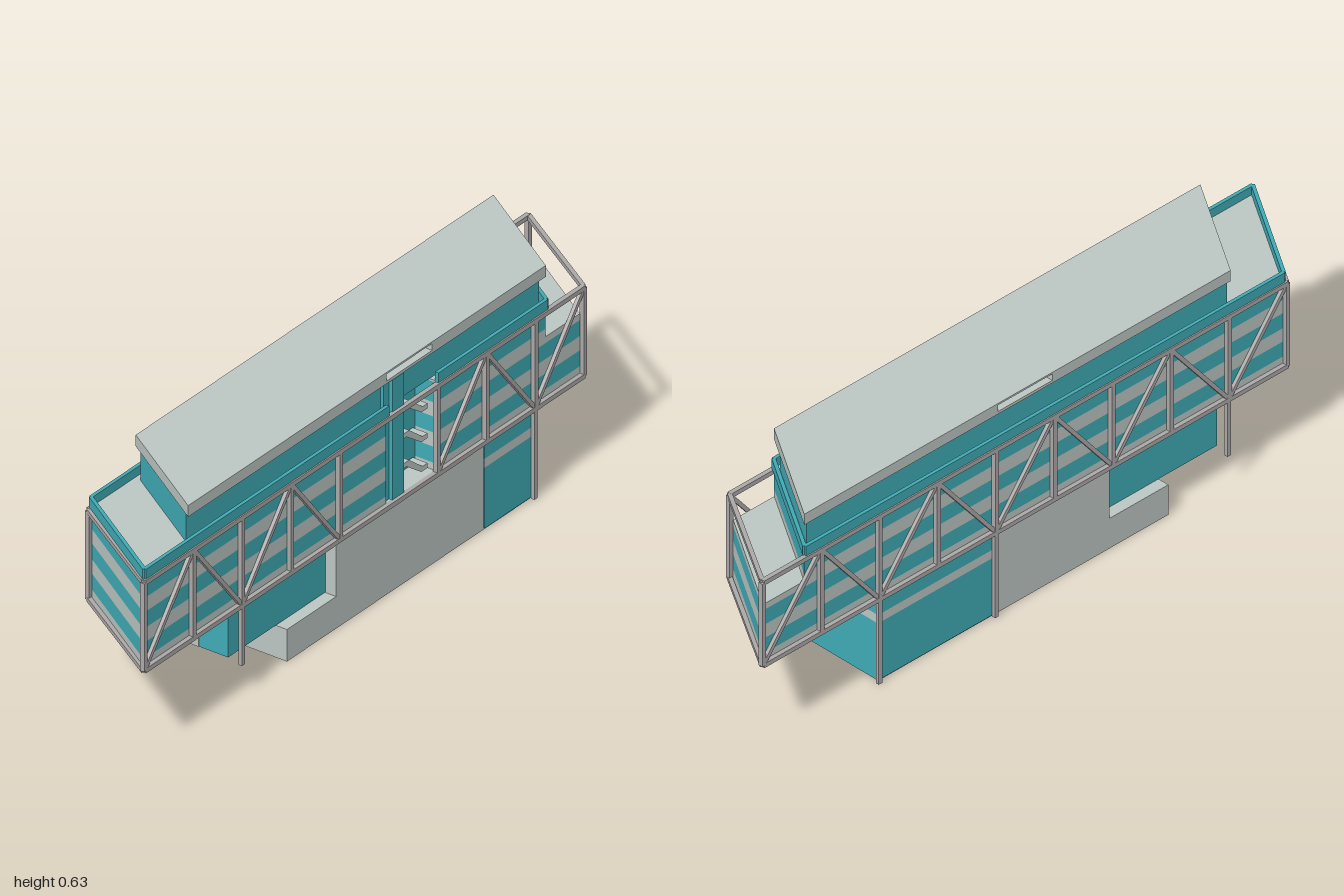
import * as THREE from 'three';

const mat = (color) => new THREE.MeshStandardMaterial({ color, flatShading: true });
const concrete = mat(0xbcc6c2), teal = mat(0x40abb6), steel = mat(0xaca8a8);

// x on the slanted plan: given the x at the front edge, shift with depth
const SKEW = 0.645, FRONT = 0.158;
const sx = (x, z) => x + SKEW * (FRONT - z);

export function createModel() {
  const model = new THREE.Group();

  const add = (name, geo, material, parent = model) => {
    const mesh = new THREE.Mesh(geo, material);
    mesh.name = name;
    parent.add(mesh);
    return mesh;
  };
  // box from its limits
  const box = (name, m, x0, x1, y0, y1, z0, z1, parent) => {
    const b = add(name, new THREE.BoxGeometry(x1 - x0, y1 - y0, z1 - z0), m, parent);
    b.position.set((x0 + x1) / 2, (y0 + y1) / 2, (z0 + z1) / 2);
    return b;
  };
  // upright prism over a plan of [x, z] corners
  const prism = (name, m, plan, y0, y1, parent) => {
    const shape = new THREE.Shape(plan.map(([x, z]) => new THREE.Vector2(x, -z)));
    const geo = new THREE.ExtrudeGeometry(shape, { depth: y1 - y0, bevelEnabled: false });
    geo.rotateX(-Math.PI / 2).translate(0, y0, 0);
    return add(name, geo, m, parent);
  };
  // slanted plan, optionally with the stair recess cut into the front
  const plan = (x0, x1, zf, zb, notch) => [
    [sx(x0, zf), zf],
    ...(notch ? [[0, zf], [0, 0.08], [0.2, 0.08], [0.2, zf]] : []),
    [sx(x1, zf), zf], [sx(x1, zb), zb], [sx(x0, zb), zb],
  ];
  // rectangular bar between two points
  const bar = (name, m, a, b, w, h, parent) => {
    const from = new THREE.Vector3(...a), to = new THREE.Vector3(...b);
    const mesh = add(name, new THREE.BoxGeometry(w, h, from.distanceTo(to)), m, parent);
    mesh.position.copy(from).add(to).multiplyScalar(0.5);
    mesh.lookAt(to);
    return mesh;
  };

  // main storeys: alternating bands, with the right end stopping lower as a terrace
  const storeys = new THREE.Group();
  storeys.name = 'mainStoreys';
  model.add(storeys);
  const LEFT = -0.99, RIGHT = 0.785, STEP = 0.645;
  [
    [0.25, 0.28, concrete, RIGHT], [0.28, 0.325, teal, RIGHT],
    [0.325, 0.365, concrete, RIGHT], [0.365, 0.41, teal, RIGHT],
    [0.41, 0.428, concrete, RIGHT], [0.428, 0.45, concrete, STEP],
    [0.45, 0.508, teal, STEP], [0.508, 0.513, concrete, STEP],
  ].forEach(([y0, y1, m, x1]) =>
    prism(m === teal ? 'windowBand' : 'wallBand', m, plan(LEFT, x1, 0.152, -0.152, true), y0, y1, storeys));

  // parapet around the roof deck, open at the stair recess
  const parapet = new THREE.Group();
  parapet.name = 'parapet';
  model.add(parapet);
  const pz = 0.157, py = 0.524;
  const pl = sx(LEFT, pz), pr = sx(STEP, pz), bl = sx(LEFT, -pz), br = sx(STEP, -pz);
  [
    [pl, pz, 0, pz], [0.2, pz, pr, pz], [bl, -pz, br, -pz],
    [pl, pz, bl, -pz], [pr, pz, br, -pz],
  ].forEach(([xa, za, xb, zb]) =>
    bar('parapetWall', teal, [xa, py, za], [xb, py, zb], 0.01, 0.028, parapet));

  // set-back top storey, and a roof with a slot through it
  prism('topStorey', teal, plan(-0.805, 0.63, 0.135, -0.132, false), 0.513, 0.6);
  const rz = 0.154, roofL = -0.81, roofR = 0.645;
  prism('roofLeft', concrete, [[sx(roofL, rz), rz], [0, rz], [0, -rz], [sx(roofL, -rz), -rz]], 0.598, 0.63);
  prism('roofRight', concrete, [[0.185, rz], [sx(roofR, rz), rz], [sx(roofR, -rz), -rz], [0.185, -rz]], 0.598, 0.63);
  box('roofSlotCover', concrete, 0, 0.185, 0.625, 0.63, -rz, rz);
  box('roofSlotFloor', concrete, 0, 0.185, 0.598, 0.606, -rz, rz);

  // stair recess: lining, shaft and flights
  box('recessLining', teal, 0, 0.2, 0.255, 0.598, 0.06, 0.09);
  box('recessFloor', concrete, 0, 0.2, 0.25, 0.26, 0.06, 0.152);
  box('shaftSide', teal, 0, 0.022, 0.26, 0.598, 0.08, 0.145);
  box('shaft', teal, 0.022, 0.07, 0.26, 0.598, 0.08, 0.155);
  for (let i = 0; i < 3; i++) {
    const y = 0.32 + i * 0.084;
    const flight = new THREE.Shape([
      [0.07, y - 0.007], [0.1, y - 0.007], [0.16, y - 0.05], [0.185, y - 0.05],
      [0.185, y - 0.036], [0.165, y - 0.036], [0.11, y + 0.007], [0.07, y + 0.007],
    ].map((p) => new THREE.Vector2(...p)));
    const geo = new THREE.ExtrudeGeometry(flight, { depth: 0.045, bevelEnabled: false });
    add('stairFlight', geo.translate(0, 0, 0.095), concrete);
  }

  // trusses: the rear one is the front one turned half way round
  const LOW = 0.254, HIGH = 0.502, T = 0.013;
  for (const s of [1, -1]) {
    const truss = new THREE.Group();
    truss.name = s > 0 ? 'frontTruss' : 'rearTruss';
    model.add(truss);
    const z = s * FRONT;
    const node = (i) => s * (-0.993 + i * 0.1987);
    for (const y of [LOW, HIGH]) bar('chord', steel, [node(0), y, z], [node(9), y, z], T, T, truss);
    for (let i = 0; i <= 9; i++) {
      const x = node(i);
      if (s < 0 || i !== 5) box('post', steel, x - T / 2, x + T / 2, LOW, HIGH, z - T / 2, z + T / 2, truss);
      if (i === 9 || (s > 0 && (i === 4 || i === 5))) continue;
      const up = i % 2 === 0;
      bar('diagonal', steel, [x, up ? LOW : HIGH, z], [node(i + 1), up ? HIGH : LOW, z], 0.01, 0.011, truss);
    }
  }
  // end rails joining the trusses
  for (const [xf, xb] of [[-0.993, -0.795], [0.795, 0.993]])
    for (const y of [LOW, HIGH])
      bar('endRail', steel, [xf, y, FRONT], [xb, y, -FRONT], 0.012, 0.012);

  // ground level: concrete base with glazed right end
  box('base', concrete, -0.2, 0.59, 0, 0.25, -0.15, 0.15);
  box('baseStep', concrete, -0.4, -0.2, 0, 0.09, -0.15, 0.15);
  for (const [y0, y1, m] of [[0.004, 0.175, teal], [0.175, 0.2, concrete], [0.2, 0.252, teal]]) {
    box('glazedFront', m, 0.4, 0.594, y0, y1, 0.14, 0.153);
    box('glazedRear', m, 0.2, 0.594, y0, y1, -0.153, -0.14);
    box('glazedEnd', m, 0.58, 0.594, y0, y1, -0.153, 0.153);
  }

  // raised left wing with a round-topped door in its end
  box('leftWing', teal, -0.597, -0.19, 0.092, 0.25, -0.118, 0.118);
  const door = new THREE.Shape();
  door.moveTo(-0.03, 0).lineTo(0.03, 0).lineTo(0.03, 0.06);
  door.absarc(0, 0.06, 0.03, 0, Math.PI, false);
  const doorGeo = new THREE.ExtrudeGeometry(door, { depth: 0.004, bevelEnabled: false, curveSegments: 8 });
  doorGeo.rotateY(-Math.PI / 2).translate(-0.596, 0.093, 0);
  add('door', doorGeo, concrete);

  // posts below the trusses: [x, z, foot height]
  [
    [0.595, FRONT, 0], [0.595, -FRONT, 0], [0.198, -FRONT, 0],
    [-0.595, FRONT, 0.085], [-0.595, -FRONT, 0.085],
  ].forEach(([x, z, y]) => box('supportPost', steel, x - 0.006, x + 0.006, y, LOW, z - 0.005, z + 0.005));

  return model;
}
